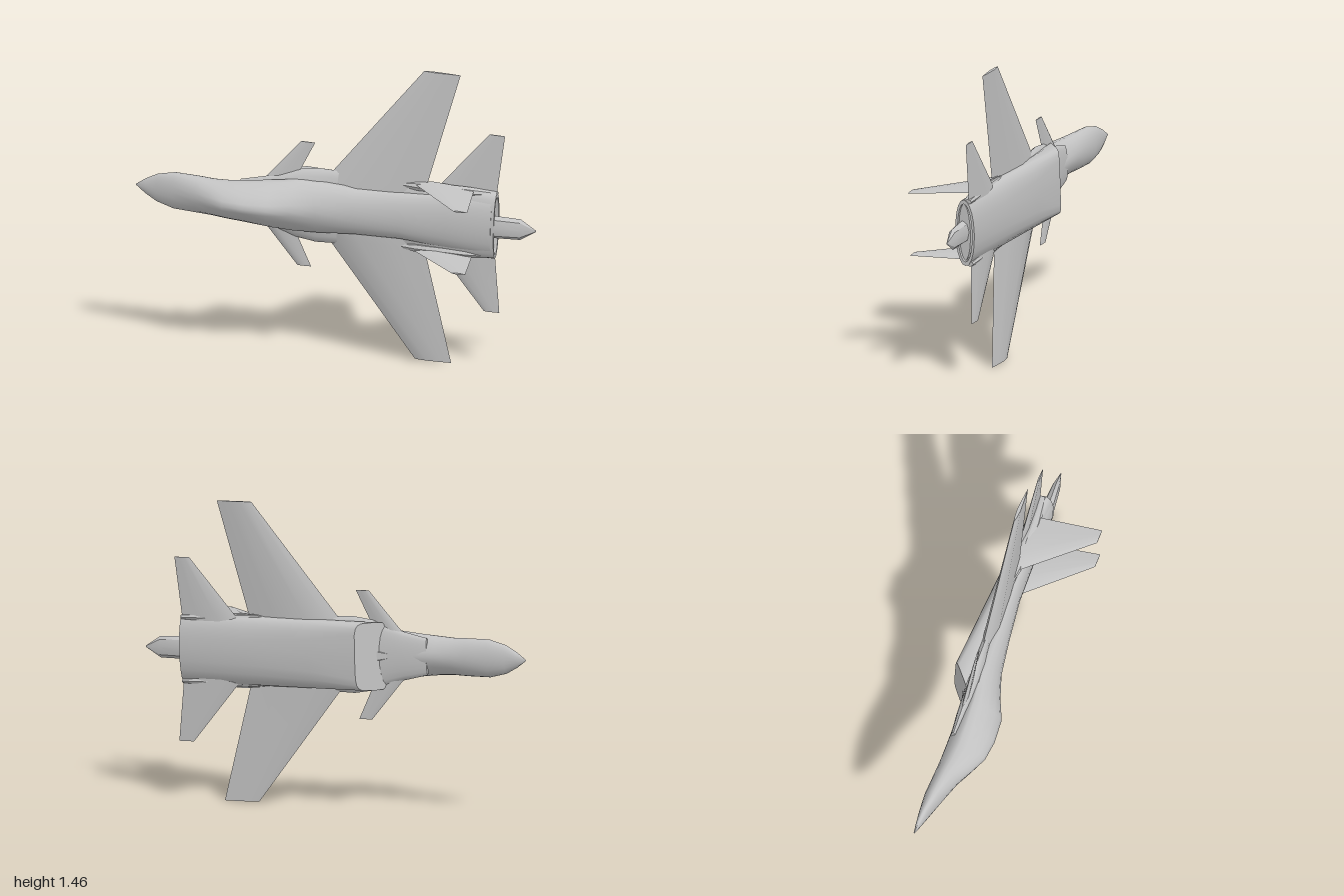
import * as THREE from 'three';
import { toCreasedNormals } from 'three/addons/utils/BufferGeometryUtils.js';

const grey = new THREE.MeshStandardMaterial({ color: 0xc3c3c3 });
grey.name = 'airframe grey';

// Skin a list of equal-length rings, cap both ends and turn the faces outward.
function loft(rings, crease = 0.6) {
  const n = rings[0].length, pos = [], idx = [];
  rings.forEach((r) => r.forEach((p) => pos.push(...p)));
  for (let i = 0; i < rings.length - 1; i++) {
    for (let j = 0; j < n; j++) {
      const k = (j + 1) % n, a = i * n + j, b = i * n + k;
      idx.push(a, b, b + n, a, b + n, a + n);
    }
  }
  const last = (rings.length - 1) * n;
  for (let j = 1; j < n - 1; j++) {
    idx.push(0, j + 1, j, last, last + j, last + j + 1);
  }
  // Signed volume tells whether the winding must be reversed
  const v = (i) => new THREE.Vector3().fromArray(pos, i * 3);
  let volume = 0;
  const centre = v(0);
  for (let i = 0; i < idx.length; i += 3) {
    const [a, b, c] = [0, 1, 2].map((k) => v(idx[i + k]).sub(centre));
    volume += a.dot(b.cross(c));
  }
  if (volume < 0) idx.reverse();
  const g = new THREE.BufferGeometry();
  g.setAttribute('position', new THREE.Float32BufferAttribute(pos, 3));
  g.setIndex(idx);
  return toCreasedNormals(g, crease);
}

// Cross-section: half-width w at height mid, reaching up to top and down to bottom.
// A power below 1 makes it boxier, above 1 more like a diamond.
function ring([x, w, bottom, mid, top, power = 1], y = 0, sides = 20) {
  const soft = (t) => Math.sign(t) * Math.abs(t) ** power;
  return Array.from({ length: sides }, (_, j) => {
    const a = (j / sides) * Math.PI * 2;
    const c = soft(Math.cos(a)), s = soft(Math.sin(a));
    return [x, y + w * c, mid + s * (s > 0 ? top - mid : mid - bottom)];
  });
}

// Tapered aerofoil from stations [leading x, trailing x, span, offset, thickness].
function blade(stations, place) {
  return loft(stations.map(([le, te, span, off, t]) => {
    const at = (f, h) => place(le + (te - le) * f, span, off + h * t / 2);
    return [at(0, 0), at(0.12, 0.6), at(0.35, 1), at(0.7, 0.6), at(1, 0),
      at(0.7, -0.6), at(0.35, -1), at(0.12, -0.6)];
  }), 0.5);
}

export function createModel() {
  const model = new THREE.Group();
  const plane = new THREE.Group();
  plane.name = 'aircraft';
  plane.position.y = 0.744;
  plane.rotation.set(0.018, 0, -0.038);
  model.add(plane);
  const add = (name, geometry) => {
    const mesh = new THREE.Mesh(geometry, grey);
    mesh.name = name;
    plane.add(mesh);
  };

  // Nose, canopy hump and spine: x, half-width, bottom, mid, top, power
  add('fuselage', loft([
    [-1, 0.002, -0.082, -0.08, -0.078],
    [-0.95, 0.038, -0.09, -0.075, -0.063],
    [-0.89, 0.07, -0.098, -0.07, -0.047],
    [-0.8, 0.092, -0.106, -0.06, -0.02],
    [-0.68, 0.092, -0.103, -0.05, 0.02, 1.05],
    [-0.6, 0.09, -0.102, -0.04, 0.06, 1.1],
    [-0.52, 0.095, -0.104, -0.035, 0.096, 1.2],
    [-0.42, 0.105, -0.108, -0.04, 0.106, 1.3],
    [-0.3, 0.12, -0.11, -0.05, 0.096, 1.35],
    [-0.2, 0.13, -0.12, -0.065, 0.05, 1.3],
    [-0.08, 0.13, -0.13, -0.08, 0.008, 1.15],
    [0.1, 0.118, -0.14, -0.09, -0.022],
    [0.32, 0.118, -0.14, -0.1, -0.052],
    [0.55, 0.135, -0.14, -0.105, -0.062],
    [0.78, 0.145, -0.14, -0.105, -0.066],
  ].map((s) => ring(s)), 0.9));

  // Wing root extensions, sinking into the wing
  add('shoulder', loft([
    [-0.48, 0.09, -0.1, -0.085, -0.07],
    [-0.36, 0.118, -0.115, -0.09, -0.06],
    [-0.28, 0.142, -0.12, -0.095, -0.05],
    [-0.2, 0.172, -0.13, -0.1, -0.05],
    [-0.1, 0.187, -0.14, -0.105, -0.06],
    [0.02, 0.182, -0.145, -0.11, -0.085],
    [0.2, 0.17, -0.15, -0.12, -0.1],
    [0.45, 0.165, -0.15, -0.125, -0.105],
  ].map((s) => ring(s)), 0.9));

  // Belly with slanted boxy front and recessed exhaust
  const belly = [
    [-0.15, 0.165, -0.205, -0.135, -0.1, 0.35],
    [0.1, 0.168, -0.198, -0.13, -0.1, 0.65],
    [0.45, 0.168, -0.184, -0.12, -0.085, 0.85],
    [0.795, 0.165, -0.167, -0.115, -0.068, 0.95],
    [0.795, 0.145, -0.155, -0.115, -0.08, 0.95],
    [0.73, 0.14, -0.15, -0.115, -0.085, 0.95],
  ].map((s) => ring(s));
  belly[0].forEach((p) => { p[0] -= Math.max(0, p[2] + 0.205) * 1.15; });
  add('belly', loft(belly, 0.7));

  // Small wedge ahead of the belly
  add('bellyWedge', loft([
    [-0.34, 0.004, -0.106, -0.1, -0.09],
    [-0.23, 0.042, -0.138, -0.1, -0.09],
    [-0.19, 0.042, -0.14, -0.1, -0.09],
  ].map((s) => ring(s, 0, 6)), 0.1));

  // Pointed tail boom
  add('tailBoom', loft([
    [0.6, 0.055, -0.135, -0.1, -0.068],
    [0.8, 0.056, -0.133, -0.1, -0.07],
    [0.92, 0.052, -0.127, -0.107, -0.085],
    [0.996, 0.003, -0.113, -0.111, -0.109],
  ].map((s) => ring(s, 0, 8)), 0.5));

  for (const [side, label] of [[1, 'upper'], [-1, 'lower']]) {
    const flat = (x, span, off) => [x, side * span, off];
    const upright = (x, span, off) => [x, side * off, span];

    add(label + 'Wing', blade([
      [-0.1, 0.425, 0.09, -0.108, 0.065],
      [-0.046, 0.442, 0.156, -0.111, 0.058],
      [0.403, 0.585, 0.728, -0.143, 0.018],
    ], flat));

    add(label + 'Tailplane', blade([
      [0.44, 0.786, 0.1, -0.138, 0.03],
      [0.504, 0.788, 0.169, -0.14, 0.026],
      [0.738, 0.816, 0.447, -0.147, 0.008],
    ], flat));

    add(label + 'Foreplane', blade([
      [-0.38, -0.21, 0.09, -0.09, 0.026],
      [-0.335, -0.2, 0.14, -0.093, 0.022],
      [-0.187, -0.118, 0.313, -0.1, 0.008],
    ], flat));

    add(label + 'Fin', blade([
      [0.36, 0.675, -0.125, 0.167, 0.03],
      [0.4, 0.685, -0.085, 0.166, 0.026],
      [0.668, 0.738, 0.2, 0.156, 0.008],
    ], upright));

    // Fairing carrying the fin and tailplane
    add(label + 'Fairing', loft([
      [0.28, 0.004, -0.115, -0.11, -0.105],
      [0.4, 0.024, -0.14, -0.11, -0.085],
      [0.65, 0.024, -0.15, -0.12, -0.085],
      [0.79, 0.012, -0.155, -0.135, -0.11],
    ].map((s) => ring(s, side * 0.155, 8)), 0.5));
  }
  return model;
}
